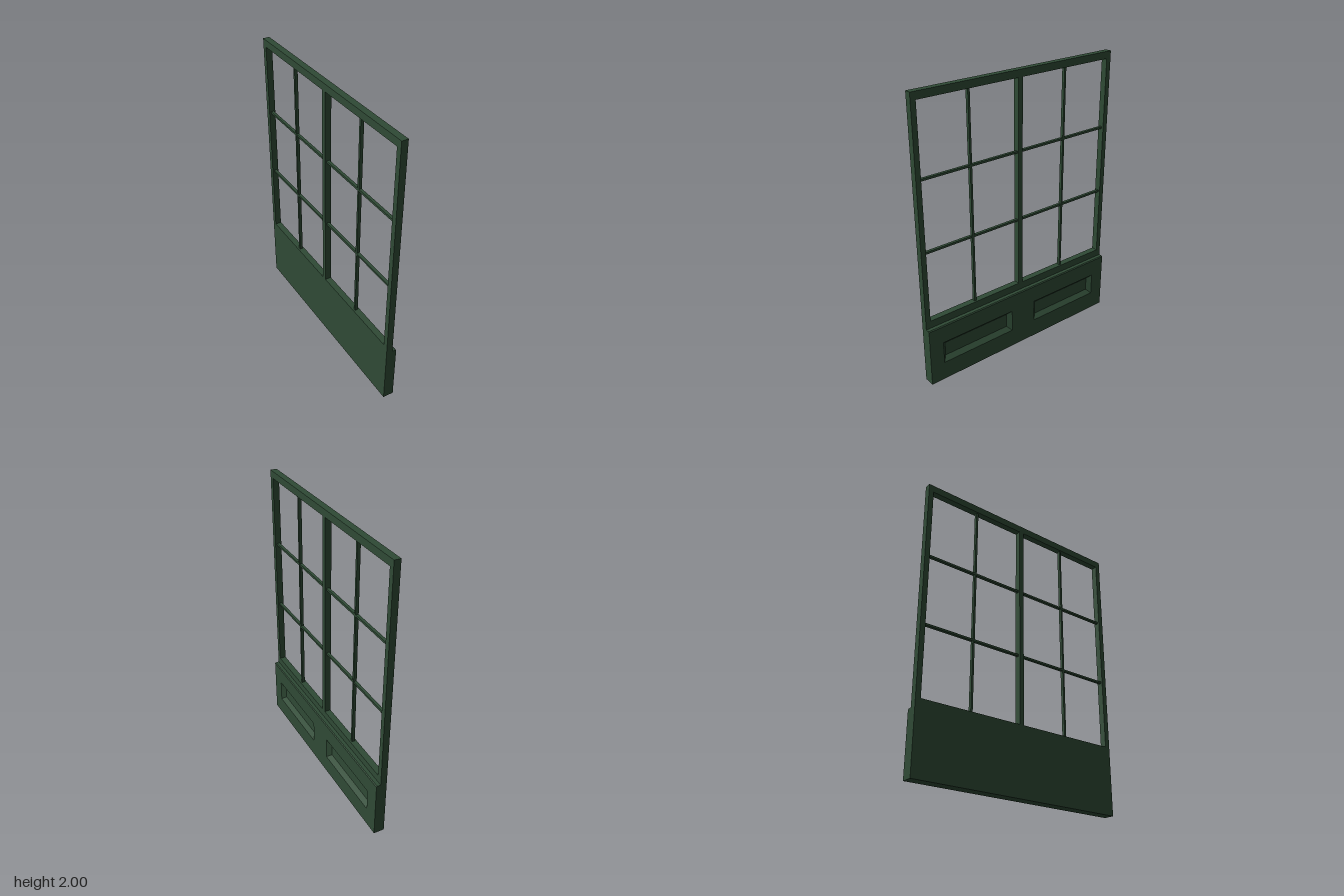
import * as THREE from 'three';

const HALF_W = 0.788, BACK = -0.038, FRAME_FRONT = 0.007, FRONT = 0.038;
const BASE_TOP = 0.425, INNER = 0.752, POST = 0.017, SILL = 0.478, HEAD = 1.95;

// Rectangle outline in (u, y), where u runs along -z
function rect(target, u0, u1, y0, y1) {
  target.moveTo(u0, y0);
  target.lineTo(u1, y0);
  target.lineTo(u1, y1);
  target.lineTo(u0, y1);
  target.closePath();
  return target;
}

// Flat-sided skin through rectangles { x, u0, u1, y0, y1 }, with optional end caps
function loft(rings, capStart, capEnd) {
  const corners = rings.map(({ x, u0, u1, y0, y1 }) =>
    [[x, y0, -u0], [x, y0, -u1], [x, y1, -u1], [x, y1, -u0]]);
  const pos = [];
  const quad = (a, b, c, d) => pos.push(...a, ...b, ...c, ...a, ...c, ...d);
  for (let r = 0; r + 1 < corners.length; r++) {
    const a = corners[r], b = corners[r + 1];
    for (let i = 0; i < 4; i++) {
      const j = (i + 1) % 4;
      quad(a[i], a[j], b[j], b[i]);
    }
  }
  if (capStart) quad(...[...corners[0]].reverse());
  if (capEnd) quad(...corners[corners.length - 1]);
  const geo = new THREE.BufferGeometry();
  geo.setAttribute('position', new THREE.Float32BufferAttribute(pos, 3));
  geo.computeVertexNormals();
  return geo;
}

export function createModel() {
  const group = new THREE.Group();
  group.name = 'panelledWindow';
  const paint = new THREE.MeshStandardMaterial({ color: 0x2f4a35 });
  const add = (name, geo, parent = group) => {
    const mesh = new THREE.Mesh(geo, paint);
    mesh.name = name;
    parent.add(mesh);
    return mesh;
  };

  // Window frame with an opening on each side of the centre post
  const frame = rect(new THREE.Shape(), -HALF_W, HALF_W, BASE_TOP, 2);
  frame.holes.push(rect(new THREE.Path(), -INNER, -POST, SILL, HEAD));
  frame.holes.push(rect(new THREE.Path(), POST, INNER, SILL, HEAD));
  const frameGeo = new THREE.ExtrudeGeometry(frame, { depth: FRAME_FRONT - BACK, bevelEnabled: false });
  frameGeo.rotateY(Math.PI / 2).translate(BACK, 0, 0);
  add('windowFrame', frameGeo);

  // Thin glazing bars dividing each opening into six panes
  const bars = new THREE.Group();
  bars.name = 'glazingBars';
  group.add(bars);
  const barX = (BACK + FRAME_FRONT) / 2, thick = 0.015, depth = 0.022;
  for (const side of [-1, 1]) {
    const z = side * (POST + INNER) / 2;
    add('verticalBar', new THREE.BoxGeometry(depth, HEAD - SILL, thick), bars)
      .position.set(barX, (SILL + HEAD) / 2, z);
    for (const t of [1 / 3, 2 / 3]) {
      add('horizontalBar', new THREE.BoxGeometry(depth - 0.002, thick, INNER - POST), bars)
        .position.set(barX, SILL + (HEAD - SILL) * t, z);
    }
  }

  // Solid base with a small chamfer along its top front edge
  const full = { u0: -HALF_W, u1: HALF_W, y0: 0 };
  add('baseBody', loft([
    { ...full, x: BACK, y1: BASE_TOP },
    { ...full, x: FRONT - 0.006, y1: BASE_TOP },
    { ...full, x: FRONT, y1: BASE_TOP - 0.007 },
  ], true, false));

  // Base front with two sunken panels
  const face = rect(new THREE.Shape(), -HALF_W, HALF_W, 0, BASE_TOP - 0.007);
  const slope = 0.03;
  for (const side of [-1, 1]) {
    const [u0, u1] = [side * 0.102, side * 0.683].sort((a, b) => a - b);
    const y0 = 0.133, y1 = 0.294;
    face.holes.push(rect(new THREE.Path(), u0, u1, y0, y1));
    add('sunkenPanel', loft([
      { x: FRONT, u0, u1, y0, y1 },
      { x: FRONT - 0.03, u0: u0 + slope, u1: u1 - slope, y0: y0 + slope, y1: y1 - slope },
    ], false, true));
  }
  add('baseFront', new THREE.ShapeGeometry(face).rotateY(Math.PI / 2).translate(FRONT, 0, 0));

  return group;
}
